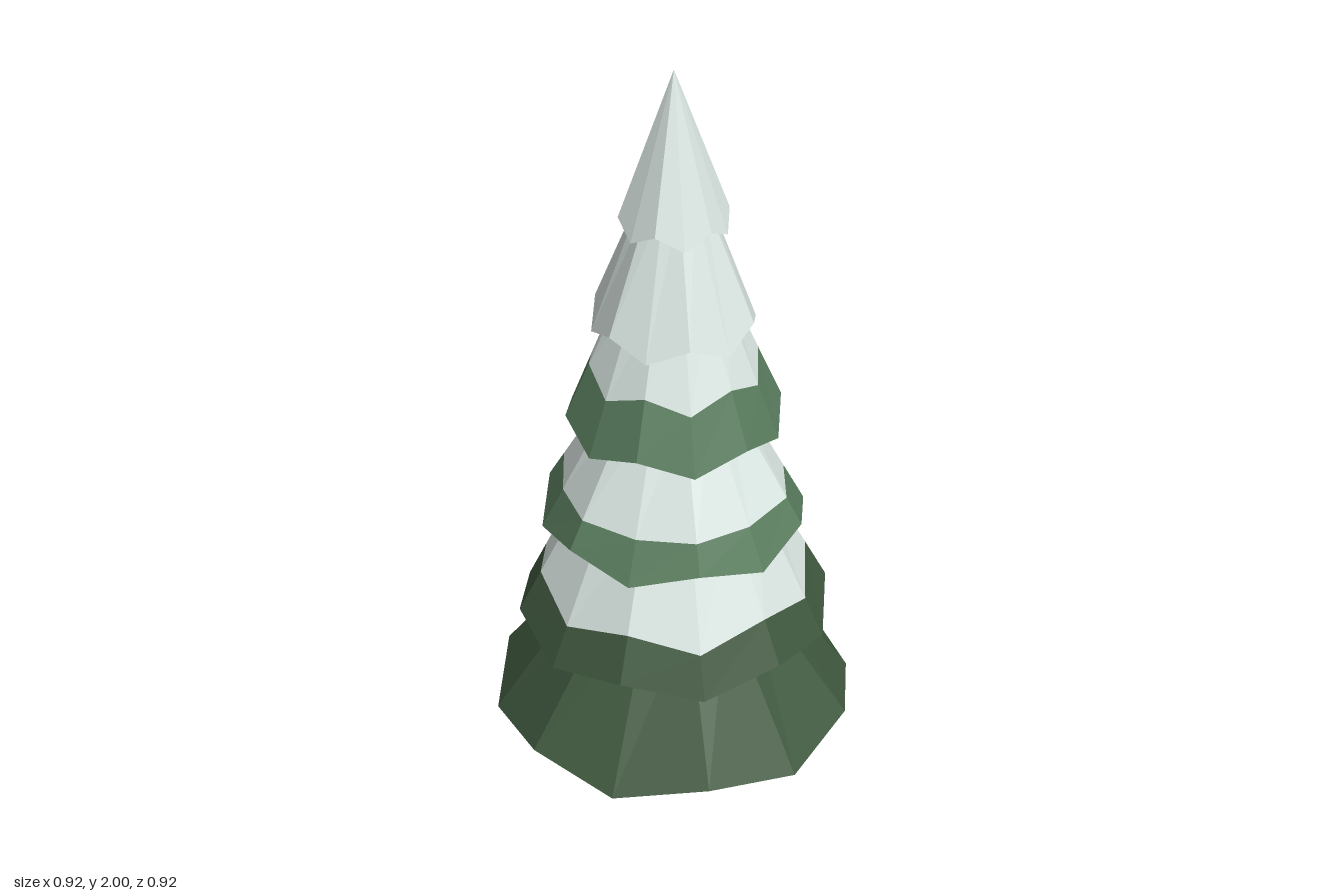
import * as THREE from 'three';

const SIDES = 12;
const STEP = (Math.PI * 2) / SIDES;

const mat = (name, color) => {
  const m = new THREE.MeshStandardMaterial({ color });
  m.name = name;
  return m;
};

// Ring of points, starting at +z and turning towards +x; even and odd corners may differ in height
const ring = (r, yEven, yOdd = yEven) =>
  Array.from({ length: SIDES }, (_, k) =>
    new THREE.Vector3(r * Math.sin(k * STEP), k % 2 ? yOdd : yEven, r * Math.cos(k * STEP)));

// Ring lying on the slope between two rings, at the given heights
const ringBetween = (low, high, yEven, yOdd) =>
  low.map((p, k) => {
    const y = k % 2 ? yOdd : yEven;
    return p.clone().lerp(high[k], (y - p.y) / (high[k].y - p.y));
  });

// Faceted strip joining two rings; keep(k) chooses which sides are made
function strip(name, low, high, material, keep = () => true) {
  const pos = [];
  const tri = (...pts) => pts.forEach((p) => pos.push(p.x, p.y, p.z));
  for (let k = 0; k < SIDES; k++) {
    if (!keep(k)) continue;
    const n = (k + 1) % SIDES;
    tri(low[k], low[n], high[n]);
    if (high[k].distanceTo(high[n]) > 1e-4) tri(low[k], high[n], high[k]);
  }
  const geo = new THREE.BufferGeometry();
  geo.setAttribute('position', new THREE.Float32BufferAttribute(pos, 3));
  geo.computeVertexNormals();
  const mesh = new THREE.Mesh(geo, material);
  mesh.name = name;
  return mesh;
}

export function createModel() {
  const tree = new THREE.Group();
  tree.name = 'snowyTree';

  const snow = mat('snow', 0xdce8e4);
  const darkGreen = mat('darkGreen', 0x40593f);
  const midGreen = mat('midGreen', 0x5a7d5e);
  const brown = mat('darkBrown', 0x573c34);
  const orange = mat('orangeBrown', 0xbf6a14);
  const pink = mat('trunkPink', 0xd8809f);
  const palePink = mat('trunkPalePink', 0xd8a3b1);

  // Trunk: pink on one half, paler on the other, with a bottom cap
  const trunkPart = (name, start, length, material) => {
    const geo = new THREE.CylinderGeometry(0.125, 0.125, 0.42, 6, 1, true, start, length);
    const mesh = new THREE.Mesh(geo, material);
    mesh.name = name;
    mesh.position.y = 0.21;
    tree.add(mesh);
  };
  trunkPart('trunk', -STEP, Math.PI, pink);
  trunkPart('trunkPaleSide', Math.PI - STEP, Math.PI, palePink);
  const base = new THREE.Mesh(new THREE.CircleGeometry(0.125, SIDES), pink);
  base.name = 'trunkBase';
  base.rotation.x = Math.PI / 2;
  tree.add(base);

  // Branch tiers: edge radius and heights (even, odd corners), top radius and height,
  // leaf colour, snow line heights and underside colour
  const tiers = [
    { r: 0.462, y: [0.27, 0.23], top: [0.2, 0.62], leaf: darkGreen, under: darkGreen },
    { r: 0.395, y: [0.5, 0.54], top: [0.21, 0.9], leaf: darkGreen, line: [0.605, 0.65], under: darkGreen },
    { r: 0.33, y: [0.83, 0.79], top: [0.13, 1.18], leaf: midGreen, line: [0.9, 0.895], under: brown },
    { r: 0.265, y: [1.07, 1.11], top: [0.12, 1.45], leaf: midGreen, line: [1.21, 1.25], under: orange },
    { r: 0.198, y: [1.38, 1.34], top: [0.07, 1.7], leaf: snow, under: darkGreen },
    { r: 0.131, y: [1.605, 1.64], top: [0, 2], leaf: snow, under: snow },
  ];

  let inner = ring(0.11, 0.34);
  tiers.forEach((t, i) => {
    const group = new THREE.Group();
    group.name = `branchTier${i + 1}`;
    const edge = ring(t.r, ...t.y);
    const top = ring(...t.top);
    if (t.line) {
      const line = ringBetween(edge, top, ...t.line);
      group.add(strip('leafBand', edge, line, t.leaf));
      group.add(strip('snowCover', line, top, snow));
    } else {
      group.add(strip('branchSkirt', edge, top, t.leaf));
    }
    // Underside; the orange one is only partly bare
    if (t.under === orange) {
      group.add(strip('underside', inner, edge, orange, (k) => k < 5));
      group.add(strip('snowyUnderside', inner, edge, snow, (k) => k >= 5));
    } else {
      group.add(strip('underside', inner, edge, t.under));
    }
    tree.add(group);
    inner = top;
  });

  return tree;
}
